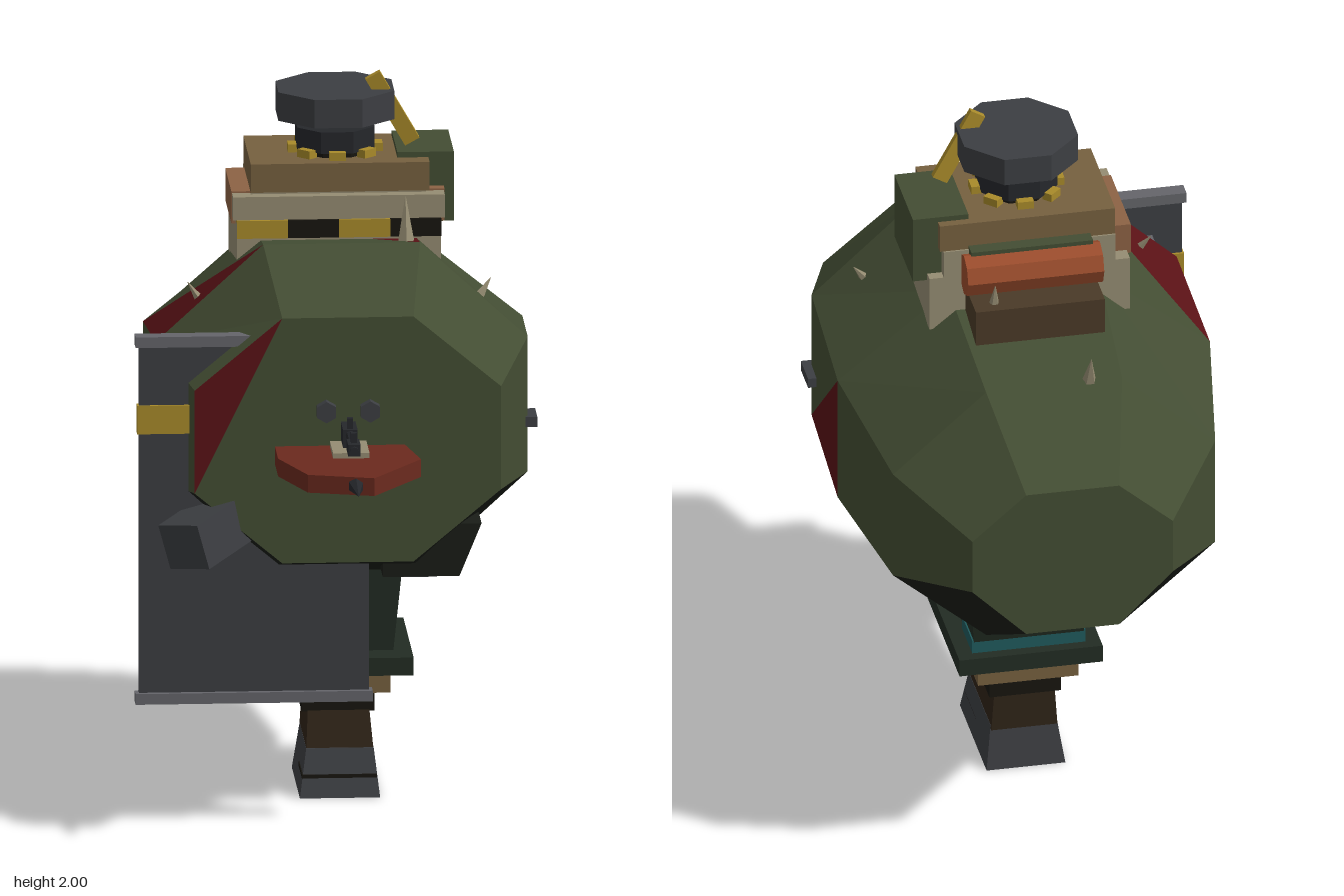
import * as THREE from 'three';

const CX = 0.02; // centre line of the machine

const C = {
  green: 0x434d33, dark: 0x1a1d17, red: 0x5a1216, neck: 0x222c23, teal: 0x1f5a5c, grey: 0x3c3e42, steel: 0x64656a,
  tan: 0x76603f, brown: 0x2e2317, yellow: 0xa88a2a, beige: 0x958c72, black: 0x17150f, rust: 0x6b2a1e,
  orange: 0x9a4c2c, copper: 0x8c6244, wood: 0x4a3a27, gun: 0x25272b,
};
const mats = {};
const mat = (c) => (mats[c] ??= new THREE.MeshStandardMaterial({ color: C[c], flatShading: true }));

export function createModel() {
  const root = new THREE.Group();
  root.name = 'walkerTurret';

  function add(name, geo, color, pos = [0, 0, 0], rot = [0, 0, 0]) {
    const m = new THREE.Mesh(geo, mat(color));
    m.name = name;
    m.position.set(...pos);
    m.rotation.set(...rot);
    root.add(m);
    return m;
  }
  // Box from its limits
  const box = (name, color, x0, x1, y0, y1, z0, z1) =>
    add(name, new THREE.BoxGeometry(x1 - x0, y1 - y0, z1 - z0), color, [(x0 + x1) / 2, (y0 + y1) / 2, (z0 + z1) / 2]);
  // Tapered block: bottom and top rectangles as [x0, x1, z0, z1]
  function taper(name, color, y0, y1, bottom, top) {
    const geo = new THREE.BoxGeometry(1, 1, 1);
    const p = geo.attributes.position;
    for (let i = 0; i < p.count; i++) {
      const up = p.getY(i) > 0;
      const r = up ? top : bottom;
      p.setXYZ(i, p.getX(i) > 0 ? r[1] : r[0], up ? y1 : y0, p.getZ(i) > 0 ? r[3] : r[2]);
    }
    geo.computeVertexNormals();
    return add(name, geo, color);
  }
  // Cylinder or cone stretched between two points
  function rod(name, color, a, b, r0, r1 = r0, sides = 8) {
    const p = new THREE.Vector3(...a), q = new THREE.Vector3(...b);
    const d = q.clone().sub(p);
    const m = add(name, new THREE.CylinderGeometry(r1, r0, d.length(), sides), color);
    m.position.copy(p).add(q).multiplyScalar(0.5);
    m.quaternion.setFromUnitVectors(new THREE.Vector3(0, 1, 0), d.normalize());
    return m;
  }

  buildHull(add);

  // Pedestal
  taper('foot', 'grey', 0, 0.13, [-0.09, 0.13, -0.28, 0.08], [-0.07, 0.115, -0.26, 0.035]);
  taper('ankle', 'brown', 0.12, 0.29, [-0.07, 0.115, -0.27, 0.035], [-0.06, 0.1, -0.26, -0.02]);
  box('ankleBand', 'black', -0.08, 0.12, 0.225, 0.27, -0.27, 0.0);
  box('footStripe', 'black', -0.083, 0.123, 0.05, 0.062, -0.1, 0.062);
  box('tanCollar', 'tan', -0.12, 0.16, 0.29, 0.345, -0.31, 0.06);
  box('flange', 'neck', -0.18, 0.22, 0.35, 0.4, -0.35, 0.11);
  taper('neck', 'neck', 0.4, 0.7, [-0.13, 0.17, -0.31, 0.02], [-0.16, 0.2, -0.38, 0.035]);
  box('tealPanel', 'teal', -0.138, 0.178, 0.4, 0.44, -0.318, -0.18);

  // Belly fairing and step
  taper('bellyFairing', 'dark', 0.69, 0.84, [0.12, 0.33, -0.12, 0.36], [0.12, 0.39, -0.16, 0.37]);
  box('stepPost', 'grey', 0.25, 0.285, 0.59, 0.71, -0.09, -0.06);
  box('stepBar', 'grey', 0.17, 0.285, 0.585, 0.63, -0.09, -0.06);

  // Shields with rails
  box('shieldPlate', 'grey', -0.55, 0.08, 0.36, 1.37, 0.37, 0.385);
  box('shieldBand', 'yellow', -0.555, 0.07, 1.11, 1.19, 0.363, 0.392);
  for (const y of [0.35, 1.355]) box('shieldRail', 'steel', -0.56, 0.09, y, y + 0.03, 0.355, 0.4);
  box('innerShieldPlate', 'grey', -0.44, 0.0, 0.5, 1.27, 0.307, 0.322);
  for (const y of [0.485, 1.25]) box('innerShieldRail', 'steel', -0.46, 0.01, y, y + 0.025, 0.295, 0.335);

  // Lamp box at the lower front corner
  add('lampBox', new THREE.BoxGeometry(0.14, 0.13, 0.2), 'grey', [-0.37, 0.84, 0.43], [0.3, -0.7, 0.35]);

  // Side handles
  for (const s of [-1, 1])
    add('sideHandle', new THREE.BoxGeometry(0.05, 0.028, 0.1), 'grey', [CX + s * 0.51, 1.075, 0.125]);

  // Nose plate, spike and gun
  const plate = new THREE.Shape(
    [[-0.18, 0.4], [-0.18, 0.57], [-0.11, 0.76], [0.07, 0.81], [0.21, 0.6], [0.17, 0.4]].map(([x, z]) => new THREE.Vector2(x, z)));
  add('nosePlate', new THREE.ExtrudeGeometry(plate, { depth: 0.05, bevelEnabled: false }), 'rust', [0, 1.08, 0], [Math.PI / 2, 0, 0]);
  rod('noseSpike', 'gun', [CX, 1.055, 0.78], [CX, 1.055, 0.91], 0.025, 0.001, 6);
  box('gunRest', 'beige', -0.03, 0.07, 1.08, 1.095, 0.44, 0.58);
  box('gunMount', 'gun', -0.02, 0.06, 1.0, 1.09, 0.42, 0.45);
  rod('gunBarrel', 'gun', [CX, 1.135, 0.42], [CX, 1.135, 0.73], 0.013);
  box('gunMuzzle', 'gun', 0.003, 0.037, 1.12, 1.152, 0.65, 0.72);
  box('gunBreech', 'gun', 0, 0.04, 1.1, 1.15, 0.44, 0.54);
  for (const z of [0.52, 0.69]) box('gunSight', 'gun', 0.012, 0.028, 1.14, 1.18, z - 0.008, z + 0.008);
  for (const x of [-0.04, 0.08]) rod('frontStud', 'grey', [x, 1.18, 0.42], [x, 1.18, 0.46], 0.03, 0.03, 6);

  // Cabin on top
  taper('cabinBase', 'beige', 1.45, 1.61, [-0.26, 0.3, -0.33, 0.03], [-0.26, 0.3, -0.33, 0.03]);
  box('cabinFront', 'beige', -0.27, 0.31, 1.62, 1.685, -0.03, 0.033);
  box('cabinCore', 'beige', -0.22, 0.26, 1.6, 1.69, -0.33, 0);
  for (let i = 0; i < 4; i++) {
    const x = -0.26 + i * 0.14;
    box('hazardStripe', i % 2 ? 'black' : 'yellow', x, x + 0.14, 1.57, 1.62, 0, 0.042);
  }
  for (const s of [-1, 1])
    add('cabinSidePanel', new THREE.BoxGeometry(0.06, 0.09, 0.27), 'copper', [CX + s * 0.262, 1.645, -0.15]);
  box('cabinRoof', 'tan', -0.22, 0.27, 1.69, 1.77, -0.325, 0.005);
  box('sideCrate', 'green', 0.185, 0.34, 1.59, 1.785, -0.3, -0.05);

  // Rear drum, shelf and slat
  rod('rearDrum', 'orange', [-0.17, 1.63, -0.36], [0.21, 1.63, -0.36], 0.06);
  box('rearShelf', 'wood', -0.16, 0.2, 1.46, 1.575, -0.475, -0.3);
  box('rearSlat', 'green', -0.15, 0.19, 1.66, 1.7, -0.365, -0.32);

  // Hatch stack
  const drum = (name, color, r, y0, y1) =>
    add(name, new THREE.CylinderGeometry(r, r, y1 - y0, 8), color, [CX, (y0 + y1) / 2, -0.15], [0, Math.PI / 8, 0]);
  for (let i = 0; i < 8; i++) {
    const a = (i * Math.PI) / 4;
    add('hatchLug', new THREE.BoxGeometry(0.045, 0.025, 0.03), 'yellow',
      [CX + 0.115 * Math.sin(a), 1.78, -0.15 + 0.115 * Math.cos(a)], [0, a, 0]);
  }
  drum('hatchNeck', 'black', 0.1, 1.76, 1.79);
  drum('hatchRing', 'gun', 0.115, 1.785, 1.845);
  drum('hatchPost', 'black', 0.05, 1.84, 1.88);
  drum('hatchDisc', 'grey', 0.172, 1.87, 1.95);

  // Leaning yellow lever
  add('lever', new THREE.BoxGeometry(0.045, 0.22, 0.02), 'yellow', [0.175, 1.895, -0.115], [0.06, 0, 0.52]);

  // Spikes on the hull: base, tip, radius
  const spikes = [
    [[0.2, 1.55, 0.1], [0.2, 1.69, 0.07], 0.027],
    [[-0.08, 1.41, -0.645], [-0.08, 1.51, -0.68], 0.024],
    [[0.14, 1.56, -0.43], [0.14, 1.635, -0.445], 0.017],
    [[-0.36, 1.4, 0.06], [-0.395, 1.45, 0.04], 0.015],
    [[0.4, 1.4, 0.06], [0.435, 1.45, 0.04], 0.015],
  ];
  for (const [a, b, r] of spikes) rod('hullSpike', 'beige', a, b, r, 0.001, 5);

  return root;
}

// Eight-sided hull lofted along z, with painted triangles and a dark belly
function buildHull(add) {
  // z, half width, half top width, top, upper shoulder, lower shoulder, bottom
  const rings = [
    [0.43, 0.42, 0.18, 1.44, 1.24, 0.95, 0.75],
    [0.15, 0.51, 0.215, 1.58, 1.31, 0.93, 0.66],
    [-0.25, 0.52, 0.21, 1.52, 1.27, 0.9, 0.64],
    [-0.66, 0.45, 0.19, 1.43, 1.2, 0.88, 0.66],
    [-0.91, 0.28, 0.13, 1.24, 1.11, 0.95, 0.8],
  ].map(([z, w, t, yt, yu, yl, yb]) =>
    [[w, yl], [w, yu], [t, yt], [-t, yt], [-w, yu], [-w, yl], [-t, yb], [t, yb]].map(([x, y]) => [CX + x, y, z]));

  const tris = { green: [], red: [], dark: [] };
  const tri = (color, ...pts) => tris[color].push(...pts.flat());
  // Painted triangles, named by ring, side and half
  const painted = new Set(['1,0,0', '2,4,0', '1,3,1', '1,2,0']);

  for (let i = 0; i < 4; i++) {
    for (let k = 0; k < 8; k++) {
      const n = (k + 1) % 8;
      const a = rings[i][k], b = rings[i][n], c = rings[i + 1][k], d = rings[i + 1][n];
      const base = k > 4 ? 'dark' : 'green';
      const paint = (half) => (painted.has(`${i},${k},${half}`) ? 'red' : base);
      tri(paint(0), a, c, d);
      tri(paint(1), a, d, b);
    }
  }
  // End caps, fanned from the lower right corner
  for (let j = 1; j < 7; j++) {
    const p = (5 + j) % 8, q = (6 + j) % 8;
    tri(j === 6 ? 'red' : 'green', rings[0][5], rings[0][p], rings[0][q]);
    tri('green', rings[4][5], rings[4][q], rings[4][p]);
  }
  const names = { green: 'hull', red: 'hullPaint', dark: 'hullBelly' };
  for (const color in tris) {
    const geo = new THREE.BufferGeometry();
    geo.setAttribute('position', new THREE.Float32BufferAttribute(tris[color], 3));
    geo.computeVertexNormals();
    add(names[color], geo, color);
  }
}
